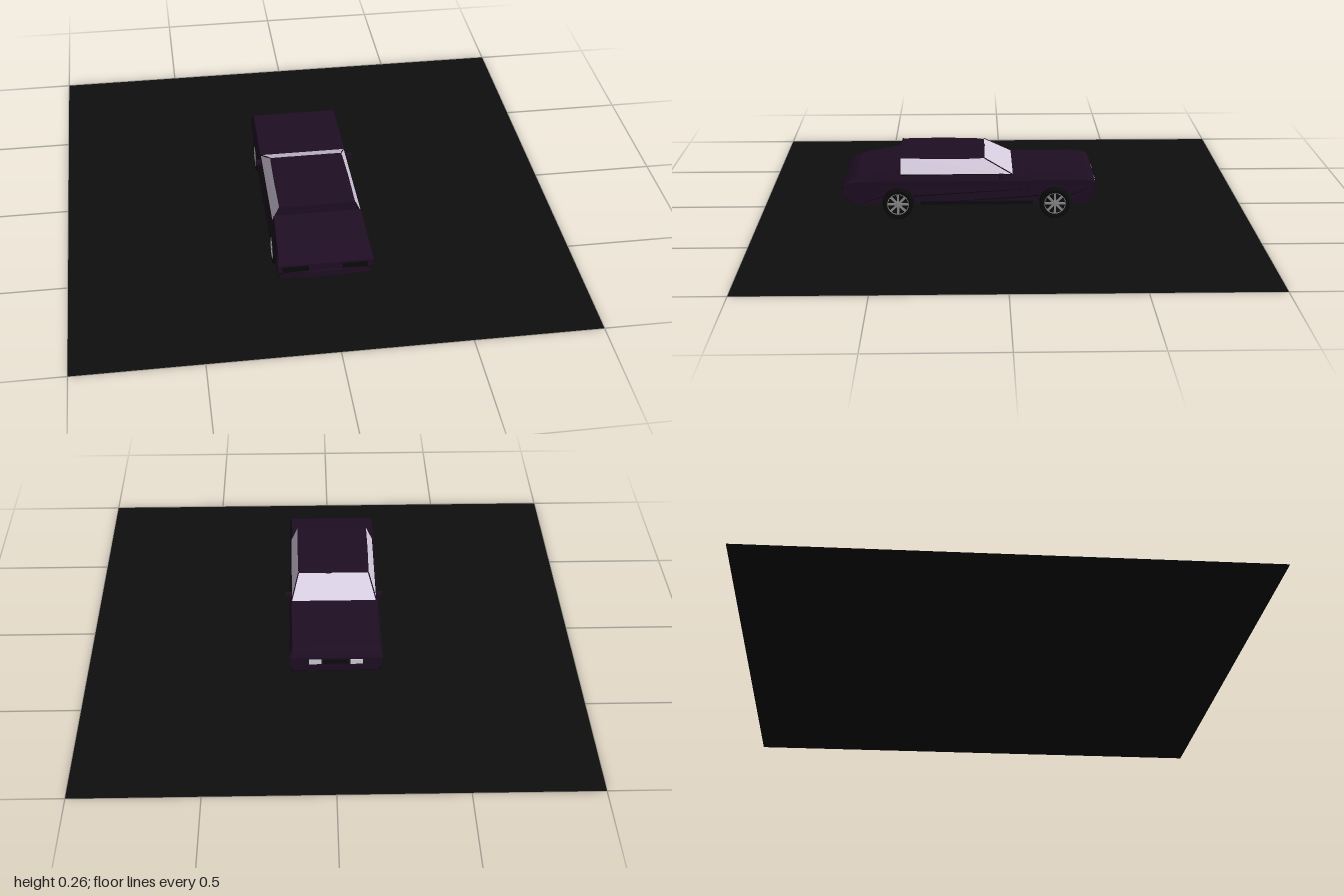
import * as THREE from 'three';

const mat = (color) => new THREE.MeshStandardMaterial({ color, flatShading: true, side: THREE.DoubleSide });

export function createModel() {
  const root = new THREE.Group();
  const car = new THREE.Group();
  car.name = 'car';
  car.position.x = -0.011;
  root.add(car);

  const paint = mat(0x1f0e23), dark = mat(0x0b0a0c), glass = mat(0xd9cfe2);
  const metal = mat(0x8a8a8a), lampMat = mat(0xd9d4de), groundMat = mat(0x0e0e0e);

  const add = (name, geo, m, parent = car, p = [0, 0, 0]) => {
    const mesh = new THREE.Mesh(geo, m);
    mesh.name = name;
    mesh.position.set(...p);
    parent.add(mesh);
    return mesh;
  };
  const box = (name, w, h, d, p, m) => add(name, new THREE.BoxGeometry(w, h, d), m, car, p);

  // Skin through equal-length rings, ordered along +z, each anticlockwise seen from +z
  const loft = (rings) => {
    const pos = [], n = rings[0].length, last = rings[rings.length - 1];
    const tri = (...pts) => pts.forEach((p) => pos.push(...p));
    for (let i = 0; i < rings.length - 1; i++) {
      for (let j = 0; j < n; j++) {
        const k = (j + 1) % n, a = rings[i], b = rings[i + 1];
        tri(a[j], a[k], b[k]);
        tri(a[j], b[k], b[j]);
      }
    }
    for (let j = 1; j < n - 1; j++) {
      tri(rings[0][0], rings[0][j + 1], rings[0][j]);
      tri(last[0], last[j], last[j + 1]);
    }
    const g = new THREE.BufferGeometry();
    g.setAttribute('position', new THREE.Float32BufferAttribute(pos, 3));
    g.computeVertexNormals();
    return g;
  };
  // Thin four-cornered panel
  const quad = (name, a, b, c, d, m) => {
    const g = new THREE.BufferGeometry();
    g.setAttribute('position', new THREE.Float32BufferAttribute([a, b, c, a, c, d].flat(), 3));
    g.computeVertexNormals();
    return add(name, g, m);
  };
  // Thin bar between two points
  const bar = (name, a, b, r, m) => {
    const path = new THREE.LineCurve3(new THREE.Vector3(...a), new THREE.Vector3(...b));
    return add(name, new THREE.TubeGeometry(path, 1, r, 5), m);
  };

  // Ground sheet
  add('ground', new THREE.PlaneGeometry(2, 2).rotateX(-Math.PI / 2), groundMat, root);

  // Lower body: side profile with wheel arches, drawn in z and y
  const axles = [-0.21, 0.433], axleY = 0.063, archR = 0.071;
  const side = new THREE.Shape();
  side.moveTo(-0.375, 0.14);
  side.lineTo(-0.375, 0.105);
  side.lineTo(-0.355, 0.07);
  side.lineTo(-0.33, 0.06);
  for (const z of axles) side.absarc(z, axleY, archR, Math.PI, 0, true);
  side.lineTo(0.6, 0.06);
  side.lineTo(0.645, 0.085);
  side.lineTo(0.657, 0.115);
  side.lineTo(0.655, 0.14);
  const lower = new THREE.ExtrudeGeometry(side, { depth: 0.366, bevelEnabled: false, curveSegments: 14 });
  lower.rotateY(-Math.PI / 2).translate(0.183, 0, 0);
  const lp = lower.attributes.position;
  for (let i = 0; i < lp.count; i++) if (lp.getY(i) < 0.1) lp.setX(i, lp.getX(i) * 0.975);
  lower.computeVertexNormals();
  add('lowerBody', lower, paint);

  // Upper body: z, top height, half width at top
  const upper = [
    [-0.375, 0.15, 0.177], [-0.365, 0.172, 0.174], [-0.345, 0.184, 0.172], [-0.29, 0.188, 0.174],
    [-0.035, 0.187, 0.177], [0.2, 0.187, 0.179], [0.422, 0.187, 0.179], [0.425, 0.215, 0.172],
    [0.47, 0.208, 0.173], [0.54, 0.193, 0.176], [0.6, 0.182, 0.177], [0.63, 0.166, 0.177], [0.655, 0.145, 0.177],
  ];
  add('upperBody', loft(upper.map(([z, y, w]) => {
    const m = Math.min(0.162, 0.14 + (y - 0.14) * 0.6);
    return [[0.183, 0.14, z], [0.185, m, z], [w, y, z], [-w, y, z], [-0.185, m, z], [-0.183, 0.14, z]];
  })), paint);

  // Cabin: roof, windscreen, side glass, rear panel and pillars
  const roof = [[0.075, 0.247, 0.146], [0.1, 0.252, 0.148], [0.25, 0.256, 0.15], [0.425, 0.253, 0.15]];
  add('roof', loft(roof.map(([z, y, w]) => [
    [w, 0.244, z], [w, y - 0.003, z], [w - 0.015, y, z], [-w + 0.015, y, z], [-w, y - 0.003, z], [-w, 0.244, z],
  ])), paint);
  quad('windscreen', [-0.175, 0.187, -0.037], [-0.146, 0.248, 0.077], [0.146, 0.248, 0.077], [0.175, 0.187, -0.037], glass);
  quad('rearPanel', [0.178, 0.187, 0.422], [0.149, 0.25, 0.422], [-0.149, 0.25, 0.422], [-0.178, 0.187, 0.422], paint);
  for (const s of [1, -1]) {
    quad('sideWindow', [s * 0.176, 0.187, -0.035], [s * 0.147, 0.248, 0.078],
      [s * 0.15, 0.25, 0.42], [s * 0.178, 0.187, 0.42], glass);
    bar('frontPillar', [s * 0.176, 0.187, -0.037], [s * 0.147, 0.248, 0.077], 0.0025, paint);
    bar('rearPillar', [s * 0.178, 0.187, 0.422], [s * 0.149, 0.25, 0.422], 0.003, paint);
    bar('windowSill', [s * 0.176, 0.187, -0.035], [s * 0.178, 0.187, 0.42], 0.0025, dark);

    // Mirrors, lamps and sills
    box('mirror', 0.024, 0.016, 0.018, [s * 0.189, 0.184, 0.01], paint);
    box('headlight', 0.05, 0.022, 0.006, [s * 0.083, 0.132, -0.375], lampMat);
    box('tailLight', 0.1, 0.022, 0.006, [s * 0.115, 0.128, 0.656], dark);
    box('sill', 0.008, 0.014, 0.46, [s * 0.179, 0.068, 0.11], dark);
  }

  // Front grille and bumpers
  box('grille', 0.1, 0.02, 0.006, [0, 0.132, -0.374], dark);
  box('frontBumper', 0.35, 0.02, 0.014, [0, 0.098, -0.368], paint);
  add('rearBumper', loft([[0.64, 0.18], [0.652, 0.177], [0.663, 0.07]].map(([z, w]) => [
    [w, 0.088, z], [w, 0.115, z], [-w, 0.115, z], [-w, 0.088, z],
  ])), paint);

  // Wheels: tyre, rim ring, eight spokes and hub
  const tyreProfile = [[0.044, -0.018], [0.058, -0.02], [0.063, -0.014], [0.063, 0.014], [0.058, 0.02], [0.044, 0.018]]
    .map(([r, y]) => new THREE.Vector2(r, y));
  for (const s of [1, -1]) {
    for (const z of axles) {
      const wheel = new THREE.Group();
      wheel.name = 'wheel';
      wheel.position.set(s * 0.165, axleY, z);
      wheel.rotation.z = -s * Math.PI / 2;
      car.add(wheel);
      add('tyre', new THREE.LatheGeometry(tyreProfile, 24), dark, wheel);
      add('rimBack', new THREE.CylinderGeometry(0.045, 0.045, 0.02, 24), dark, wheel);
      add('rimRing', new THREE.TorusGeometry(0.043, 0.002, 5, 24).rotateX(Math.PI / 2), metal, wheel, [0, 0.017, 0]);
      for (let i = 0; i < 8; i++) {
        const spoke = new THREE.BoxGeometry(0.035, 0.006, 0.009).translate(0.025, 0.014, 0);
        add('spoke', spoke.rotateY(i * Math.PI / 4), metal, wheel);
      }
      add('hub', new THREE.CylinderGeometry(0.008, 0.01, 0.008, 10), metal, wheel, [0, 0.015, 0]);
    }
  }
  return root;
}
